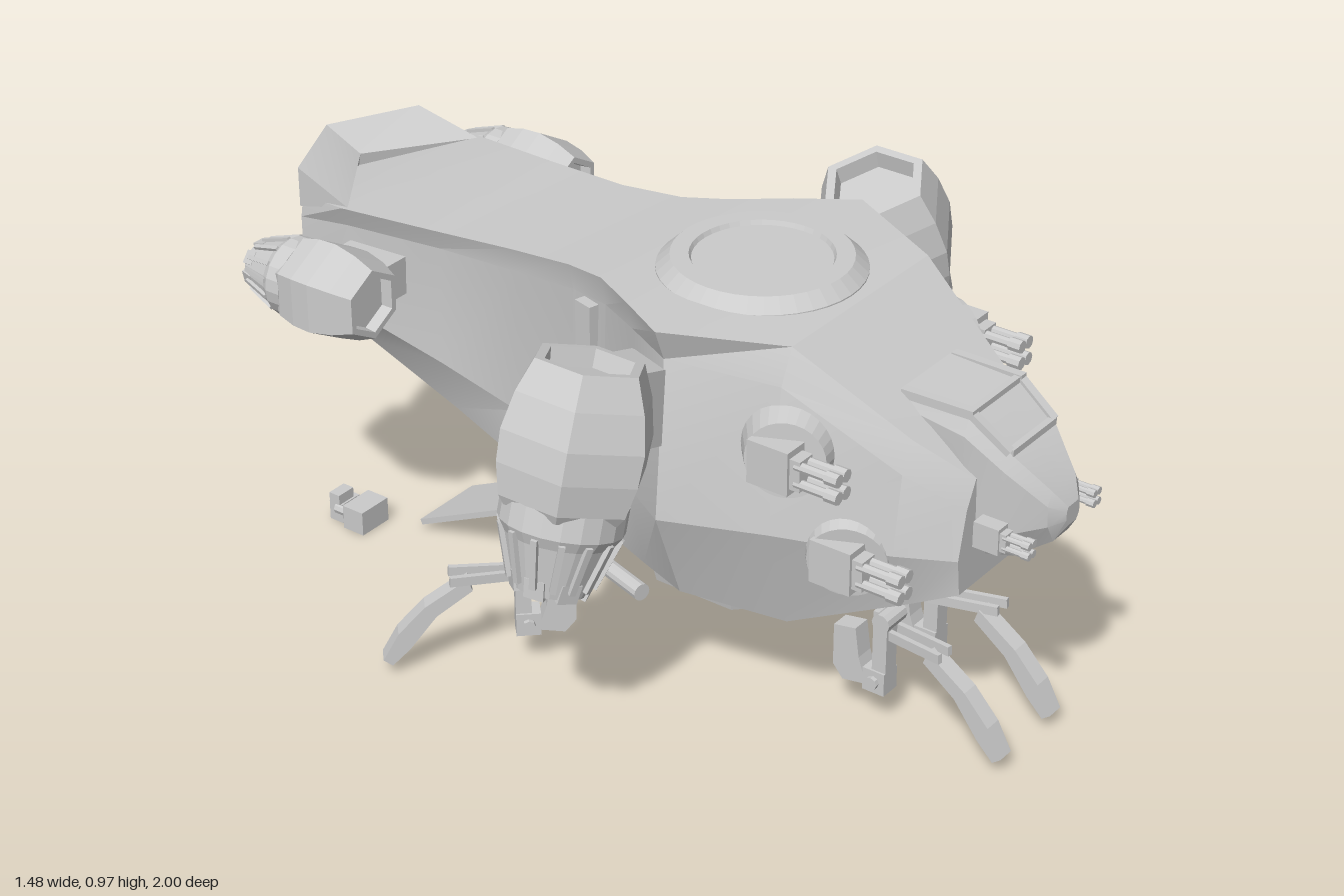
import * as THREE from 'three';
import { toCreasedNormals } from 'three/addons/utils/BufferGeometryUtils.js';

const flat = new THREE.MeshStandardMaterial({ color: 0xcccccc, flatShading: true, side: THREE.DoubleSide });
const smooth = new THREE.MeshStandardMaterial({ color: 0xcccccc, side: THREE.DoubleSide });
const V = (x, y, z) => new THREE.Vector3(x, y, z);

function add(parent, name, geo, pos = [0, 0, 0], rot = [0, 0, 0], mat = flat) {
  const m = new THREE.Mesh(geo, mat);
  m.name = name;
  m.position.set(...pos);
  m.rotation.set(...rot);
  parent.add(m);
  return m;
}
function group(parent, name, pos = [0, 0, 0], rot = [0, 0, 0]) {
  const g = new THREE.Group();
  g.name = name;
  g.position.set(...pos);
  g.rotation.set(...rot);
  parent.add(g);
  return g;
}
const box = (w, h, d) => new THREE.BoxGeometry(w, h, d);
const lathe = (pts, n) => new THREE.LatheGeometry(pts.map(p => new THREE.Vector2(...p)), n);

// Bar of rectangular section between two points
function beam(parent, name, a, b, w, h) {
  const p = V(...a), q = V(...b);
  const m = add(parent, name, box(w, h, p.distanceTo(q)));
  m.position.copy(p).add(q).multiplyScalar(0.5);
  m.lookAt(q);
  return m;
}

// Skin a list of closed rings and cap both ends
function loft(rings, crease = 0.35) {
  const n = rings[0].length, pos = [], idx = [];
  rings.forEach(r => r.forEach(p => pos.push(p.x, p.y, p.z)));
  for (let i = 0; i < rings.length - 1; i++) {
    for (let j = 0; j < n; j++) {
      const a = i * n + j, b = i * n + (j + 1) % n;
      idx.push(a, a + n, b + n, a, b + n, b);
    }
  }
  const e = (rings.length - 1) * n;
  for (let j = 1; j < n - 1; j++) idx.push(0, j, j + 1, e, e + j + 1, e + j);
  const g = new THREE.BufferGeometry();
  g.setAttribute('position', new THREE.Float32BufferAttribute(pos, 3));
  g.setIndex(idx);
  return toCreasedNormals(g, crease);
}
// Mirrored ring: top edge, upper side, lower side, bottom edge
function ring([z, yt, xt, yu, xu, yl, xl, yb, xb]) {
  const half = [[xt, yt], [xu, yu], [xl, yl], [xb, yb]];
  return [V(0, yt, z), ...half.map(([x, y]) => V(x, y, z)), V(0, yb, z),
    ...half.reverse().map(([x, y]) => V(-x, y, z))];
}

// Engine hanging along -y from its hexagonal intake
function engine(parent, name, pos, rot, scale) {
  const g = group(parent, name, pos, rot);
  g.scale.setScalar(scale);
  add(g, 'engineCasing', lathe([[0, -0.31], [0.135, -0.31], [0.15, -0.29], [0.167, -0.22], [0.17, -0.15],
    [0.152, -0.07], [0.122, 0], [0.1, 0], [0.095, -0.04], [0, -0.04]], 6));
  add(g, 'nozzle', lathe([[0, -0.4], [0.06, -0.42], [0.068, -0.485], [0.08, -0.485], [0.118, -0.37],
    [0.133, -0.345], [0.133, -0.29], [0, -0.29]], 20));
  for (let i = 0; i < 14; i++) {
    const rib = group(g, 'nozzleRib', [0, 0, 0], [0, i * Math.PI / 7, 0]);
    add(rib, 'ribBar', box(0.014, 0.12, 0.014), [0, -0.41, 0.108], [0.32, 0, 0]);
    if (i % 2) add(rib, 'nozzlePetal', box(0.045, 0.045, 0.012), [0, -0.47, 0.08], [0.25, 0, 0]);
  }
}

// Four barrelled gun pointing along +z
function gun(parent, name, pos, scale) {
  const g = group(parent, name, pos);
  g.scale.setScalar(scale);
  add(g, 'gunMount', box(0.06, 0.1, 0.1));
  add(g, 'gunBreech', box(0.045, 0.07, 0.03), [0, 0, 0.06]);
  for (const x of [-0.014, 0.014]) for (const y of [-0.02, 0.02]) {
    add(g, 'barrel', new THREE.CylinderGeometry(0.011, 0.011, 0.1, 8), [x, y, 0.11], [Math.PI / 2, 0, 0]);
    add(g, 'muzzle', new THREE.CylinderGeometry(0.015, 0.015, 0.03, 8), [x, y, 0.15], [Math.PI / 2, 0, 0]);
  }
}

// Landing leg reaching along +z
function leg(parent, name, pos, yaw) {
  const g = group(parent, name, pos, [0, yaw, 0]);
  const extrude = (pts, d) => new THREE.ExtrudeGeometry(
    new THREE.Shape(pts.map(p => new THREE.Vector2(...p))), { depth: d, bevelEnabled: false })
    .translate(0, 0, -d / 2).rotateY(-Math.PI / 2);
  add(g, 'legPost', box(0.04, 0.15, 0.035), [0, 0.215, 0]);
  add(g, 'hipJoint', new THREE.CylinderGeometry(0.022, 0.022, 0.07, 10), [0, 0.275, 0.01], [0, 0, Math.PI / 2]);
  add(g, 'ankle', box(0.05, 0.055, 0.055), [0, 0.115, -0.01]);
  add(g, 'anklePin', new THREE.CylinderGeometry(0.015, 0.015, 0.07, 8), [0, 0.115, -0.01], [0, 0, Math.PI / 2]);
  add(g, 'footPlate', extrude([[-0.03, 0.1], [-0.09, 0.09], [-0.115, 0.12], [-0.115, 0.22], [-0.06, 0.23], [-0.05, 0.16]], 0.045));
  for (const x of [-0.022, 0.022]) beam(g, 'clawProng', [x, 0.28, 0.01], [x * 0.7, 0.2, 0.15], 0.012, 0.022);
  add(g, 'claw', extrude([[0.11, 0.21], [0.19, 0.15], [0.25, 0.07], [0.29, 0.03], [0.31, 0.045],
    [0.275, 0.11], [0.215, 0.175], [0.12, 0.24]], 0.042));
}

export function createModel() {
  const ship = new THREE.Group();
  ship.name = 'dropship';

  // Hull, from tail to chin
  add(ship, 'hull', loft([
    [-0.905, 0.85, 0.19, 0.80, 0.2, 0.66, 0.2, 0.58, 0.12],
    [-0.75, 0.88, 0.235, 0.83, 0.215, 0.62, 0.22, 0.52, 0.16],
    [-0.5, 0.89, 0.212, 0.84, 0.195, 0.56, 0.205, 0.425, 0.16],
    [-0.3, 0.90, 0.195, 0.84, 0.18, 0.5, 0.19, 0.345, 0.165],
    [-0.14, 0.915, 0.2, 0.85, 0.185, 0.5, 0.2, 0.28, 0.18],
    [-0.03, 0.93, 0.23, 0.86, 0.215, 0.5, 0.23, 0.28, 0.2],
    [0.09, 0.94, 0.3, 0.87, 0.28, 0.5, 0.3, 0.28, 0.245],
    [0.22, 0.945, 0.375, 0.87, 0.345, 0.5, 0.375, 0.28, 0.29],
    [0.47, 0.938, 0.25, 0.86, 0.285, 0.53, 0.325, 0.28, 0.25],
    [0.72, 0.775, 0.18, 0.71, 0.215, 0.53, 0.24, 0.387, 0.19],
    [0.83, 0.69, 0.11, 0.63, 0.14, 0.52, 0.165, 0.435, 0.155],
  ].map(ring)), [0, 0, 0], [0, 0, 0], smooth);

  // Upswept tail lip
  add(ship, 'tailLip', loft([[-0.225, -0.74, -0.9], [0, -0.9, -1], [0.225, -0.74, -0.9]].map(([x, zi, zo]) =>
    [V(x, 0.88, zi), V(x * 0.92, 0.925, zo), V(x * 0.92, 0.9, zo), V(x * 0.92, 0.83, Math.max(zo, -0.91))])),
    [0, 0, 0], [0, 0, 0], smooth);

  // Cockpit and canopy frame
  const cockpit = group(ship, 'cockpit');
  add(cockpit, 'nose', loft([
    [0.63, 0.83, 0.1, 0.80, 0.11, 0.6, 0.1, 0.5, 0.07],
    [0.8, 0.825, 0.095, 0.78, 0.115, 0.56, 0.108, 0.48, 0.06],
    [0.89, 0.76, 0.085, 0.72, 0.1, 0.57, 0.095, 0.5, 0.05],
    [0.97, 0.68, 0.045, 0.65, 0.06, 0.6, 0.055, 0.555, 0.03],
    [0.995, 0.64, 0.02, 0.63, 0.025, 0.61, 0.025, 0.595, 0.015],
  ].map(ring)), [0, 0, 0], [0, 0, 0], smooth);
  for (const s of [-1, 1]) {
    beam(cockpit, 'canopyRail', [s * 0.095, 0.823, 0.64], [s * 0.092, 0.825, 0.81], 0.02, 0.02);
    beam(cockpit, 'canopyRail', [s * 0.092, 0.825, 0.8], [s * 0.083, 0.76, 0.89], 0.02, 0.015);
  }
  beam(cockpit, 'canopyBar', [-0.09, 0.825, 0.8], [0.09, 0.825, 0.8], 0.015, 0.015);
  beam(cockpit, 'canopyBar', [-0.083, 0.76, 0.89], [0.083, 0.76, 0.89], 0.015, 0.015);

  // Round roof hatch and octagonal belly ring
  add(ship, 'roofHatch', lathe([[0, 0.9], [0.225, 0.9], [0.225, 0.942], [0.195, 0.97], [0.155, 0.97],
    [0.15, 0.96], [0, 0.96]], 40), [0, 0, 0.22]);
  add(ship, 'bellyRing', lathe([[0.22, 0.285], [0.225, 0.245], [0.26, 0.245], [0.27, 0.285], [0.22, 0.285]], 8),
    [0, 0, 0.22], [0, Math.PI / 8, 0]);

  // Rear ramp and its bay cover
  beam(ship, 'ramp', [0, 0.28, -0.14], [0, 0.025, -0.68], 0.19, 0.014);
  beam(ship, 'rampBay', [0, 0.353, -0.32], [0, 0.493, -0.68], 0.2, 0.012);

  for (const s of [-1, 1]) {
    // Engines and pylons
    engine(ship, 'mainEngine', [s * 0.51, 0.92, 0.16], [0, 0, s * 0.3], 1);
    add(ship, 'mainPylon', box(0.15, 0.17, 0.13), [s * 0.385, 0.77, 0.16], [0, 0, s * 0.3]);
    engine(ship, 'tailEngine', [s * 0.353, 0.75, -0.56], [Math.PI / 2, 0, 0], 0.68);
    add(ship, 'tailPylon', box(0.12, 0.09, 0.15), [s * 0.23, 0.75, -0.67]);

    // Gun blisters on the flanks and guns beside the nose
    for (const [x, y, z, tilt] of [[0.3, 0.725, 0.5, 0.05], [0.245, 0.505, 0.62, -0.1]]) {
      const b = group(ship, 'gunBlister', [s * x, y, z], [0, -s * 0.43, s * tilt]);
      add(b, 'blisterDisc', new THREE.CylinderGeometry(0.085, 0.105, 0.07, 28), [0, 0, 0], [0, 0, -s * Math.PI / 2]);
      gun(ship, 'flankGun', [s * (x + 0.045), y, z], 1);
    }
    gun(ship, 'noseGun', [s * 0.128, 0.585, 0.88], 0.6);

    // Side rail, legs and rear leg struts
    add(ship, 'sideRail', box(0.03, 0.52, 0.05), [s * 0.212, 0.59, -0.08], [0, s * 0.25, 0]);
    leg(ship, 'frontLeg', [s * 0.1, 0, 0.62], 0);
    leg(ship, 'rearLeg', [s * 0.38, 0, -0.14], s * 2.38);
    beam(ship, 'rearLegArm', [s * 0.24, 0.27, -0.05], [s * 0.38, 0.275, -0.14], 0.035, 0.035);
    const strut = group(ship, 'rearLegStrut', [s * 0.295, 0.262, 0.06], [0, s * 0.3, 0]);
    add(strut, 'strutTube', new THREE.CylinderGeometry(0.02, 0.02, 0.17, 12), [0, 0, 0], [Math.PI / 2, 0, 0]);
    add(strut, 'strutRod', new THREE.CylinderGeometry(0.013, 0.013, 0.08, 10), [0, 0, -0.11], [Math.PI / 2, 0, 0]);
  }

  // Small loose gun behind the ramp
  const pod = group(ship, 'loosePod', [-0.155, 0, -0.8]);
  add(pod, 'podBody', box(0.09, 0.06, 0.06), [0, 0.036, 0]);
  add(pod, 'podTail', box(0.06, 0.05, 0.04), [0, 0.03, -0.065]);
  add(pod, 'podTop', box(0.05, 0.025, 0.03), [-0.015, 0.072, -0.06]);
  for (const x of [-0.025, 0.025]) {
    add(pod, 'podTube', new THREE.CylinderGeometry(0.014, 0.014, 0.05, 8), [x, 0.04, -0.04], [Math.PI / 2, 0, 0]);
  }
  return ship;
}
